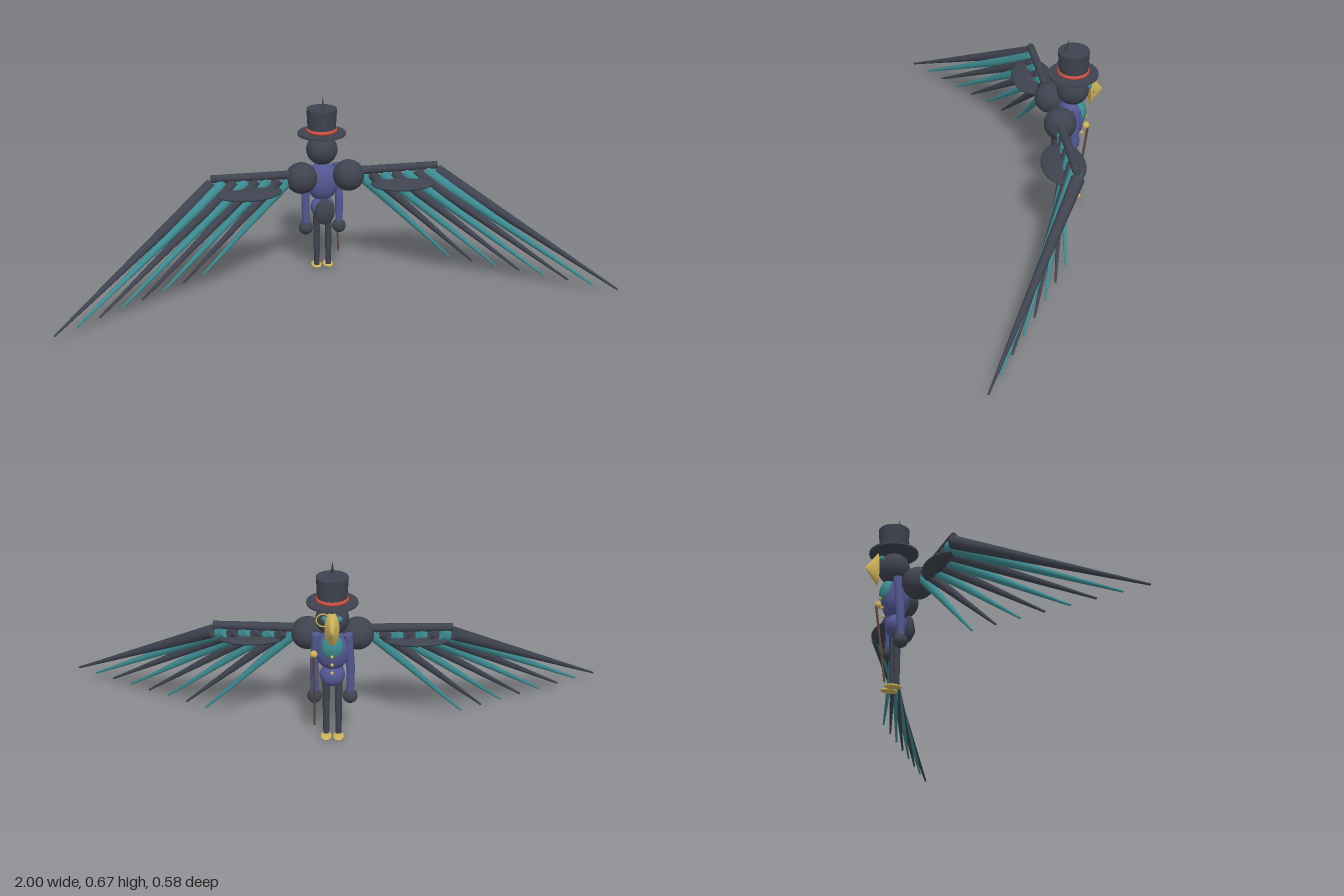
import * as THREE from 'three';

const mat = (name, color) => Object.assign(new THREE.MeshStandardMaterial({ color }), { name });
const dark = mat('charcoal', 0x3f434f);
const teal = mat('teal', 0x3c8a90);
const blue = mat('coat blue', 0x525891);
const red = mat('band red', 0xcb5145);
const gold = mat('gold', 0xcdb25c);
const brown = mat('cane brown', 0x5d463d);

export function createModel() {
  const root = new THREE.Group();
  root.name = 'birdGentleman';

  const add = (name, geo, material, pos = [0, 0, 0], parent = root) => {
    const m = new THREE.Mesh(geo, material);
    m.name = name;
    m.position.set(...pos);
    parent.add(m);
    return m;
  };
  // Ellipsoid from centre and radii
  const blob = (name, material, pos, r, parent) => {
    const m = add(name, new THREE.SphereGeometry(1, 28, 18), material, pos, parent);
    m.scale.set(...r);
    return m;
  };
  // Tapered rod between two points
  const rod = (name, material, a, b, ra, rb, parent, sides = 16) => {
    const A = new THREE.Vector3(...a), B = new THREE.Vector3(...b);
    const dir = B.clone().sub(A);
    const m = add(name, new THREE.CylinderGeometry(rb, ra, dir.length(), sides), material,
      A.clone().add(B).multiplyScalar(0.5).toArray(), parent);
    m.quaternion.setFromUnitVectors(new THREE.Vector3(0, 1, 0), dir.normalize());
    return m;
  };

  // Body
  blob('torso', blue, [0, 0.347, -0.176], [0.062, 0.074, 0.049]);
  blob('hips', blue, [0, 0.247, -0.172], [0.045, 0.042, 0.04]);
  blob('chest', teal, [0, 0.37, -0.205], [0.04, 0.046, 0.029]);
  blob('tail', dark, [0, 0.242, -0.127], [0.038, 0.05, 0.02]);
  [[0.345, -0.232], [0.31, -0.225], [0.276, -0.22]].forEach(([y, z]) =>
    blob('button', gold, [0, y, z], [0.006, 0.006, 0.006]));

  // Head and beak
  blob('head', dark, [0, 0.469, -0.183], [0.058, 0.058, 0.058]);
  const beak = add('beak', new THREE.ConeGeometry(0.064, 0.047, 32), gold, [0, 0.458, -0.268]);
  beak.rotation.x = -Math.PI / 2;
  beak.scale.x = 0.4;
  add('monocle', new THREE.TorusGeometry(0.023, 0.0025, 8, 32), gold, [0.03, 0.491, -0.248]);

  // Top hat
  add('hatBrim', new THREE.CylinderGeometry(0.089, 0.089, 0.007, 40), dark, [0, 0.531, -0.184]);
  add('hatCrown', new THREE.CylinderGeometry(0.056, 0.051, 0.092, 40), dark, [0, 0.579, -0.184]);
  const band = add('hatBand', new THREE.TorusGeometry(0.049, 0.008, 12, 40), red, [0, 0.544, -0.184]);
  band.rotation.x = Math.PI / 2;
  rod('hatFeather', dark, [0, 0.58, -0.137], [0, 0.673, -0.167], 0.012, 0.0005);

  // Cane held in the hand on the +x side
  rod('cane', brown, [0.063, 0.056, -0.191], [0.063, 0.35, -0.228], 0.0035, 0.0045);
  blob('caneKnob', gold, [0.063, 0.349, -0.22], [0.013, 0.013, 0.013]);

  for (const s of [1, -1]) {
    const side = new THREE.Group();
    side.name = s > 0 ? 'leftSide' : 'rightSide';
    root.add(side);

    blob('eye', teal, [s * 0.026, 0.491, -0.237], [0.01, 0.0105, 0.009], side);

    // Arm
    rod('upperArm', blue, [s * 0.055, 0.41, -0.186], [s * 0.064, 0.275, -0.177], 0.016, 0.015, side);
    blob('elbow', blue, [s * 0.064, 0.275, -0.177], [0.015, 0.015, 0.015], side);
    rod('forearm', blue, [s * 0.064, 0.275, -0.177], [s * 0.063, 0.18, -0.174], 0.015, 0.0135, side);
    blob('hand', dark, [s * 0.063, 0.165, -0.175], [0.026, 0.026, 0.026], side);

    // Leg and foot
    rod('leg', dark, [s * 0.022, 0.23, -0.175], [s * 0.022, 0.01, -0.174], 0.014, 0.0105, side);
    blob('foot', gold, [s * 0.022, 0.0075, -0.186], [0.02, 0.0075, 0.032], side);

    // Wing shoulder, bone and covert
    blob('wingShoulder', dark, [s * 0.088, 0.384, -0.12], [0.058, 0.058, 0.058], side);
    rod('wingBone', dark, [s * 0.1, 0.401, -0.115], [s * 0.42, 0.406, -0.109], 0.016, 0.014, side);
    const covert = blob('wingCovert', dark, [s * 0.29, 0.353, -0.09], [0.125, 0.017, 0.077], side);
    covert.rotation.x = 0.06;

    // Flight feathers, inner to outer, alternating colours
    for (let i = 0; i < 8; i++) {
      const t = i / 7;
      const base = [s * (0.13 + 0.29 * t), 0.383, -0.117 + 0.005 * t];
      const tip = [s * (0.465 + 0.533 * t), 0.051 - 0.023 * t, -0.066 + 0.355 * t];
      rod('flightFeather', i % 2 ? dark : teal, base, tip, 0.019 + 0.005 * t, 0.0035, side, 12);
    }
  }
  return root;
}
